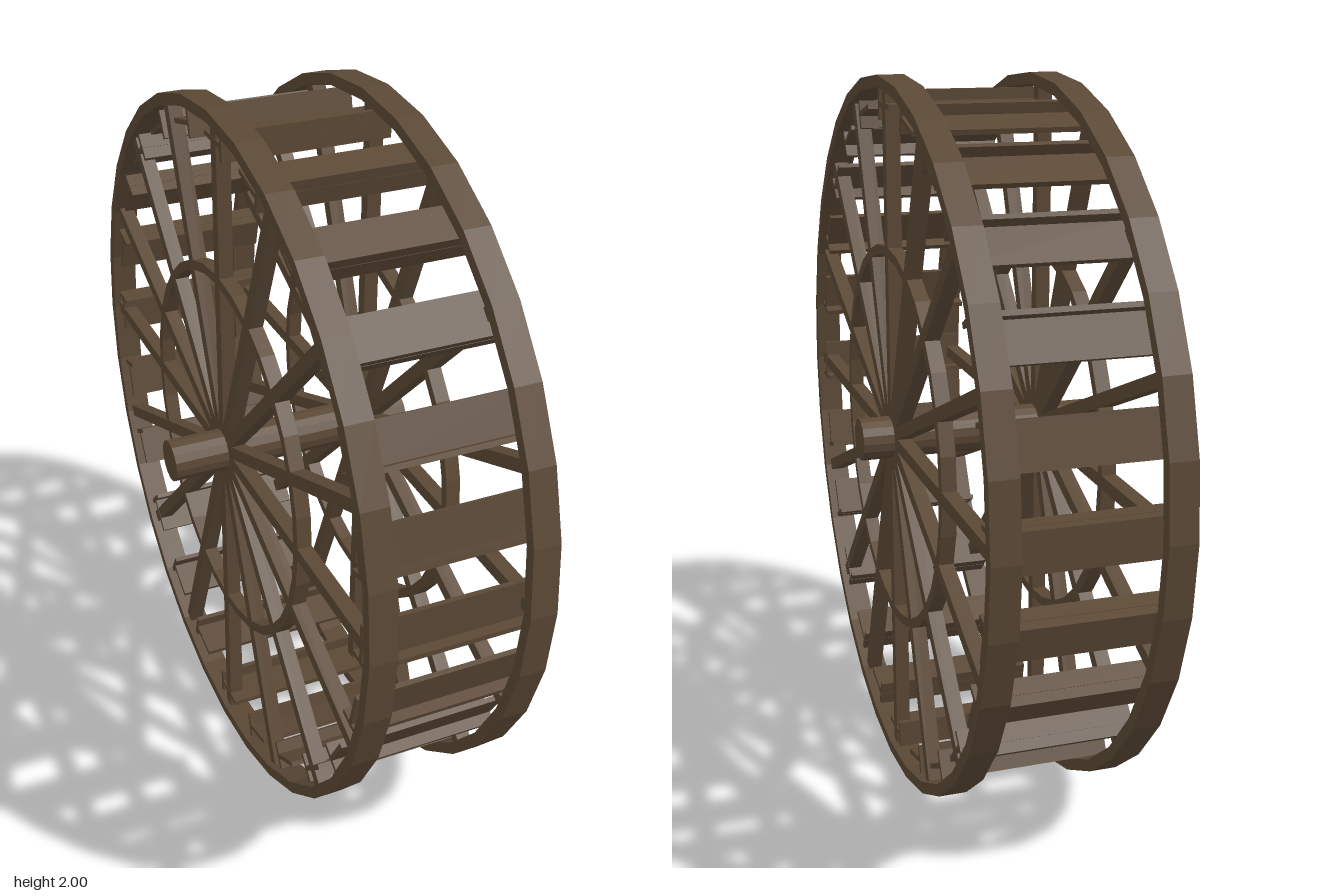
import * as THREE from 'three';

const wood = new THREE.MeshStandardMaterial({ color: 0x5c4936, flatShading: true });
wood.name = 'dark wood';

const SIDES = 32, SPOKES = 16, PADDLES = 24;
const MID = 0.034;          // centre of the wheel along the axle
const RIM_OFFSET = 0.214;   // from the centre to the middle of each rim

// Regular polygon outline with a vertex on each axis
function polygon(target, radius) {
  const points = [];
  for (let i = 0; i < SIDES; i++) {
    const a = (i / SIDES) * Math.PI * 2;
    points.push(new THREE.Vector2(Math.cos(a) * radius, Math.sin(a) * radius));
  }
  return target.setFromPoints(points);
}

// Flat-sided hoop around the x axis
function hoopGeometry(outer, inner, width) {
  const shape = polygon(new THREE.Shape(), outer);
  shape.holes.push(polygon(new THREE.Path(), inner));
  return new THREE.ExtrudeGeometry(shape, { depth: width, bevelEnabled: false })
    .translate(0, 0, -width / 2)
    .rotateY(Math.PI / 2);
}

function addMesh(parent, geometry, name) {
  const mesh = new THREE.Mesh(geometry, wood);
  mesh.name = name;
  parent.add(mesh);
  return mesh;
}

export function createModel() {
  const model = new THREE.Group();
  model.name = 'waterWheel';
  const wheel = new THREE.Group();
  wheel.name = 'wheel';
  wheel.position.y = 1;
  model.add(wheel);

  // Axle through both sides
  addMesh(wheel, new THREE.CylinderGeometry(0.06, 0.06, 0.712, 16).rotateZ(Math.PI / 2), 'axle');

  // Two side frames: rim, brace ring and spokes
  const rimGeo = hoopGeometry(1, 0.968, 0.075);
  const braceGeo = hoopGeometry(0.544, 0.517, 0.04);
  const spokeGeo = new THREE.BoxGeometry(0.04, 0.972, 0.036).translate(0, 0.486, 0);
  for (const side of [-1, 1]) {
    const frame = new THREE.Group();
    frame.name = side > 0 ? 'leftFrame' : 'rightFrame';
    frame.position.x = MID + side * RIM_OFFSET;
    addMesh(frame, rimGeo, 'rim');
    addMesh(frame, braceGeo, 'braceRing');
    for (let i = 0; i < SPOKES; i++) {
      addMesh(frame, spokeGeo, 'spoke').rotation.x = (i / SPOKES) * Math.PI * 2;
    }
    wheel.add(frame);
  }

  // Paddles: a tangential board with a radial board across one end
  const boardGeo = new THREE.BoxGeometry(0.47, 0.014, 0.122).translate(0, 0.92, 0);
  const bladeGeo = new THREE.BoxGeometry(0.47, 0.078, 0.014).translate(0, 0.918, 0.053);
  for (let i = 0; i < PADDLES; i++) {
    const paddle = new THREE.Group();
    paddle.name = 'paddle';
    paddle.position.x = MID;
    paddle.rotation.x = (i / PADDLES) * Math.PI * 2;
    addMesh(paddle, boardGeo, 'paddleBoard');
    addMesh(paddle, bladeGeo, 'paddleBlade');
    wheel.add(paddle);
  }
  return model;
}
